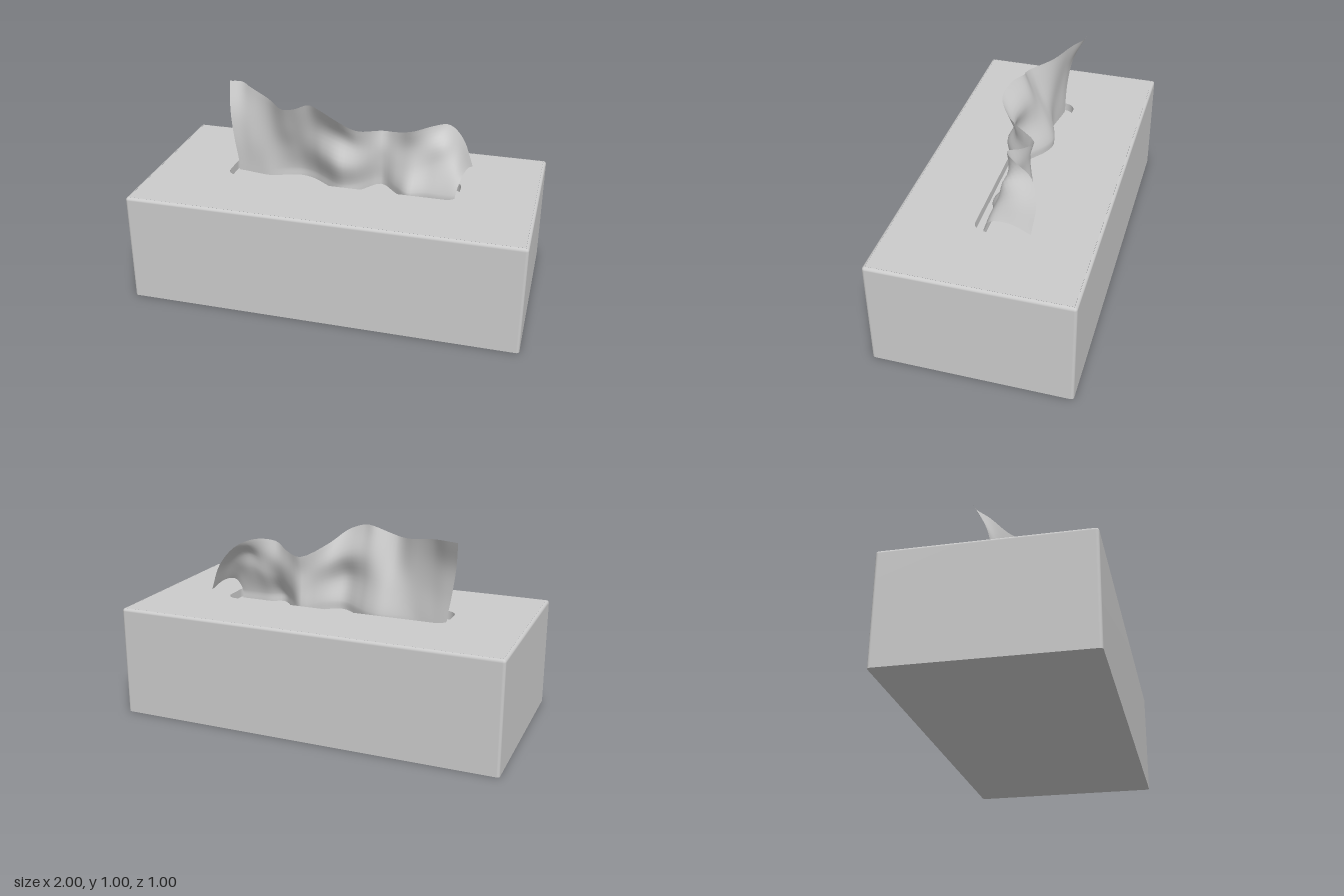
import * as THREE from 'three';

const W = 2, D = 1, H = 0.57, BEVEL = 0.015, FLOOR = 0.525;

// Rounded rectangle between opposite corners, as a Shape or Path
function roundedRect(Type, x0, x1, y0, y1, r) {
  const p = new Type();
  p.moveTo(x0 + r, y0);
  p.lineTo(x1 - r, y0).absarc(x1 - r, y0 + r, r, -Math.PI / 2, 0, false);
  p.lineTo(x1, y1 - r).absarc(x1 - r, y1 - r, r, 0, Math.PI / 2, false);
  p.lineTo(x0 + r, y1).absarc(x0 + r, y1 - r, r, Math.PI / 2, Math.PI, false);
  p.lineTo(x0, y0 + r).absarc(x0 + r, y0 + r, r, Math.PI, Math.PI * 1.5, false);
  return p;
}

// Tissue folds, one row per vertical section:
// x at base, x at top, top height, bulge upward, then z at four heights
const FOLDS = [
  [-0.60, -0.67, 0.99, 0, -0.055, -0.06, -0.085, -0.155],
  [-0.56, -0.60, 0.995, 0, -0.05, -0.055, -0.08, -0.15],
  [-0.50, -0.53, 0.985, 0, -0.04, -0.04, -0.06, -0.10],
  [-0.41, -0.41, 0.96, 0, -0.03, -0.03, -0.03, -0.03],
  [-0.31, -0.31, 0.945, 0, -0.065, -0.03, 0.02, 0.06],
  [-0.24, -0.24, 0.96, 0, -0.075, -0.03, 0.02, 0.075],
  [-0.17, -0.17, 0.985, 0, -0.05, 0.0, 0.02, 0.065],
  [-0.10, -0.10, 0.98, 0, 0.0, 0.05, 0.04, 0.105],
  [0.0, 0.0, 0.94, 0, 0.065, 0.105, 0.06, 0.13],
  [0.08, 0.08, 0.875, 0, 0.03, 0.06, 0.035, 0.07],
  [0.18, 0.18, 0.825, 0, -0.08, -0.07, -0.065, -0.085],
  [0.27, 0.27, 0.84, 0, 0.0, -0.03, -0.05, -0.05],
  [0.35, 0.36, 0.875, 0, 0.075, 0.01, -0.02, 0.0],
  [0.42, 0.45, 0.89, 0.01, 0.05, 0.0, -0.02, -0.06],
  [0.49, 0.52, 0.86, 0.05, 0.05, 0.0, -0.03, -0.165],
  [0.55, 0.585, 0.77, 0.065, 0.05, 0.0, -0.08, -0.205],
  [0.59, 0.64, 0.63, 0.055, 0.05, 0.01, -0.09, -0.195],
];

function tissueGeometry(nu = 64, nv = 20) {
  // four curves running along the length, one per height
  const rails = [0, 1, 2, 3].map(k => new THREE.CatmullRomCurve3(FOLDS.map(f => {
    const v = k / 3;
    const y = THREE.MathUtils.lerp(H, f[2], v) + f[3] * 4 * v * (1 - v);
    return new THREE.Vector3(THREE.MathUtils.lerp(f[0], f[1], v), y, f[4 + k]);
  })));
  const geo = new THREE.PlaneGeometry(1, 1, nu, nv);
  const pos = geo.attributes.position;
  for (let i = 0; i <= nu; i++) {
    const pts = rails.map(r => r.getPoint(i / nu));
    // tuck the lower edge down into the slot
    pts.unshift(pts[0].clone().setY(FLOOR));
    const section = new THREE.CatmullRomCurve3(pts);
    for (let j = 0; j <= nv; j++) {
      const p = section.getPoint(1 - j / nv);
      pos.setXYZ(j * (nu + 1) + i, p.x, p.y, p.z);
    }
  }
  geo.computeVertexNormals();
  return geo;
}

// Closed band of wall built from horizontal outlines [inset, height]
function boxSides() {
  const rings = [[0, 0], [0, H - BEVEL]];
  for (let i = 1; i <= 4; i++) {
    const a = (i / 4) * Math.PI / 2;
    rings.push([BEVEL * (1 - Math.cos(a)), H - BEVEL + BEVEL * Math.sin(a)]);
  }
  const verts = [], index = [];
  let n = 0;
  for (const [inset, y] of rings) {
    const r = Math.max(BEVEL - inset, 0.0005);
    const loop = [];
    // quarter arc at each corner
    [[1, 1], [-1, 1], [-1, -1], [1, -1]].forEach(([sx, sz], c) => {
      for (let k = 0; k <= 4; k++) {
        const a = (c + k / 4) * Math.PI / 2;
        loop.push([sx * (W / 2 - BEVEL) + r * Math.cos(a), sz * (D / 2 - BEVEL) + r * Math.sin(a)]);
      }
    });
    n = loop.length;
    loop.forEach(([x, z]) => verts.push(x, y, z));
  }
  for (let j = 0; j < rings.length - 1; j++) {
    for (let i = 0; i < n; i++) {
      const a = j * n + i, b = j * n + (i + 1) % n;
      index.push(a, a + n, b, b, a + n, b + n);
    }
  }
  const geo = new THREE.BufferGeometry();
  geo.setAttribute('position', new THREE.Float32BufferAttribute(verts, 3));
  geo.setIndex(index);
  geo.computeVertexNormals();
  return geo;
}

export function createModel() {
  const model = new THREE.Group();
  model.name = 'tissueBox';
  const grey = new THREE.MeshStandardMaterial({ color: 0xcccccc });
  const thin = new THREE.MeshStandardMaterial({ color: 0xcccccc, side: THREE.DoubleSide });
  const add = (name, geo, mat = grey) => {
    const mesh = new THREE.Mesh(geo, mat);
    mesh.name = name;
    model.add(mesh);
    return mesh;
  };

  // Carton: walls, bottom and top panel with the slot cut out
  add('boxSides', boxSides());
  const outline = inset => roundedRect(THREE.Shape, -W / 2 + inset, W / 2 - inset,
    -D / 2 + inset, D / 2 - inset, Math.max(BEVEL - inset, 0.0005));
  const slot = Type => roundedRect(Type, -0.61, 0.605, -0.105, 0.112, 0.06);
  add('boxBottom', new THREE.ShapeGeometry(outline(0)).rotateX(Math.PI / 2));
  const top = outline(BEVEL);
  top.holes.push(slot(THREE.Path));
  add('boxTop', new THREE.ShapeGeometry(top).rotateX(-Math.PI / 2).translate(0, H, 0));

  // Slot: recessed floor and its rim wall
  add('slotFloor', new THREE.ShapeGeometry(slot(THREE.Shape)).rotateX(-Math.PI / 2).translate(0, FLOOR, 0));
  const rim = slot(THREE.Shape).getPoints(12);
  const verts = [], index = [];
  rim.forEach((p, i) => {
    verts.push(p.x, FLOOR, -p.y, p.x, H, -p.y);
    const a = 2 * i, b = 2 * ((i + 1) % rim.length);
    index.push(a, a + 1, b, b, a + 1, b + 1);
  });
  const wall = new THREE.BufferGeometry();
  wall.setAttribute('position', new THREE.Float32BufferAttribute(verts, 3));
  wall.setIndex(index);
  wall.computeVertexNormals();
  add('slotWall', wall, thin);

  // Tissue sheet pulled up through the slot
  add('tissue', tissueGeometry(), thin);
  return model;
}
